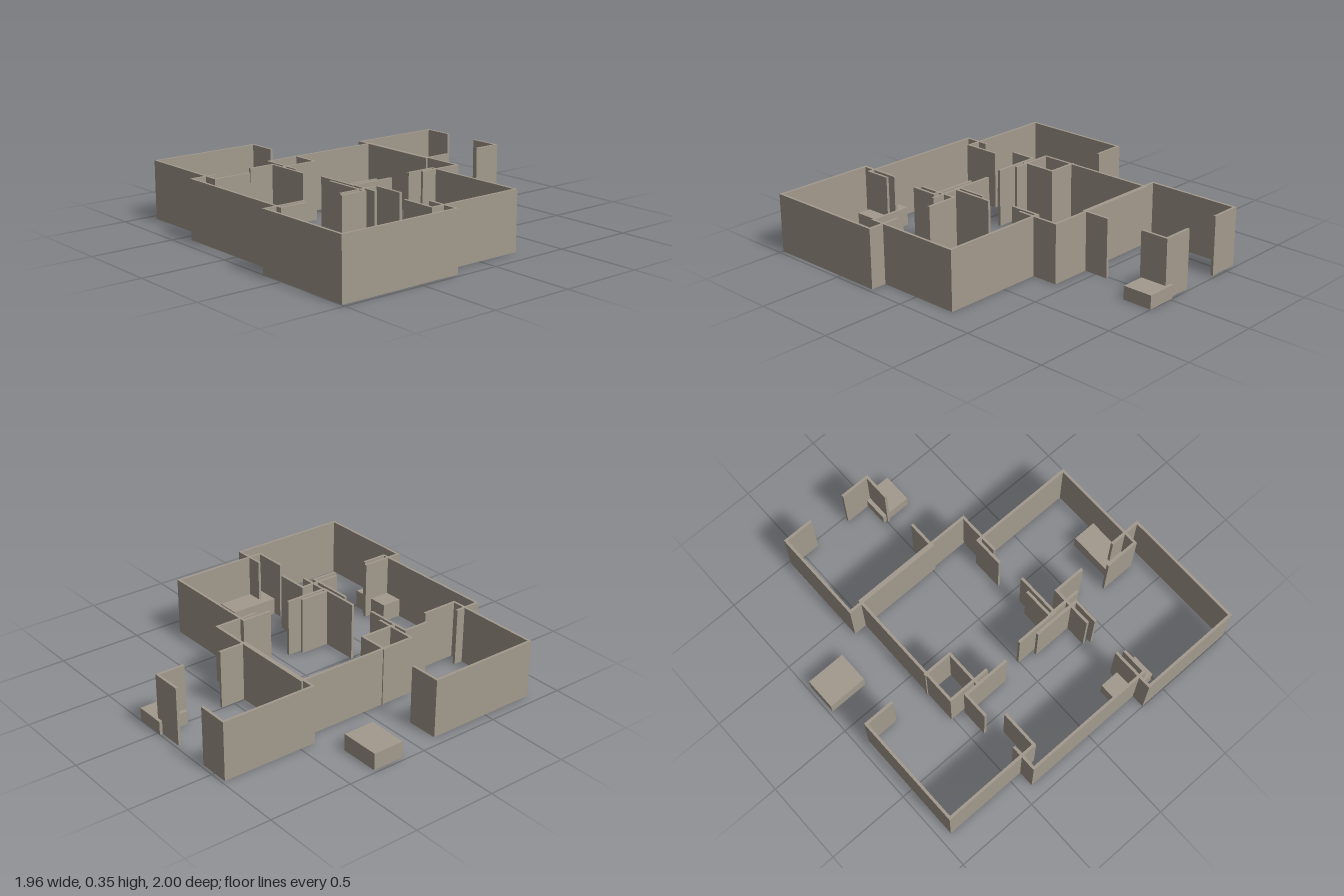
import * as THREE from 'three';

const H = 0.347; // wall height
const T = 0.016; // wall thickness

// Each room: outer bounds, then an optional doorway [from, to] for each side
const ROOMS = [
  { name: 'backRoom', x: [-0.59, 0.02], z: [-0.982, -0.402], back: [-0.4, -0.17], right: [-0.81, -0.58] },
  { name: 'centralHall', x: [-0.51, 0.265], z: [-0.43, 0.345], right: [-0.157, 0.07], front: [-0.24, -0.007] },
  { name: 'eastRoom', x: [0.218, 0.882], z: [-0.27, 0.339], left: [-0.08, 0.148], front: [0.437, 0.665] },
  { name: 'frontEastRoom', x: [0.343, 0.976], z: [0.243, 0.998], back: [0.545, 0.773], left: [0.505, 0.732] },
  { name: 'frontMiddleRoom', x: [-0.428, 0.398], z: [0.361, 0.92], back: [-0.13, 0.1], left: [0.527, 0.755], right: [0.527, 0.755] },
  { name: 'westRoom', x: [-0.937, -0.325], z: [0.129, 0.826], back: [-0.745, -0.517], right: [0.362, 0.59] },
];

// Low crates: x range, z range, height
const CRATES = [
  [[-0.98, -0.74], [-0.325, -0.133], 0.1],
  [[-0.02, 0.165], [-1.0, -0.82], 0.08],
  [[0.722, 0.872], [0.025, 0.33], 0.1],
  [[0.225, 0.482], [0.777, 0.917], 0.11],
];

function block(name, [x0, x1], [z0, z1], h, material) {
  const geo = new THREE.BoxGeometry(x1 - x0, h, z1 - z0);
  const mesh = new THREE.Mesh(geo, material);
  mesh.position.set((x0 + x1) / 2, h / 2, (z0 + z1) / 2);
  mesh.name = name;
  return mesh;
}

// Splits a wall run around its doorway
const runs = ([a, b], gap) => (gap ? [[a, gap[0]], [gap[1], b]] : [[a, b]]);

function room(r, material) {
  const g = new THREE.Group();
  g.name = r.name;
  const [x0, x1] = r.x, [z0, z1] = r.z;
  // Walls along x
  for (const [side, z] of [['back', [z0, z0 + T]], ['front', [z1 - T, z1]]]) {
    for (const x of runs(r.x, r[side])) g.add(block(side + 'Wall', x, z, H, material));
  }
  // Walls along z
  for (const [side, x] of [['left', [x0, x0 + T]], ['right', [x1 - T, x1]]]) {
    const name = side === 'left' ? 'westWall' : 'eastWall';
    for (const z of runs(r.z, r[side])) g.add(block(name, x, z, H, material));
  }
  return g;
}

// Box without its underside
function crate([x, z, h], material) {
  const mesh = block('crate', x, z, h, material);
  const index = Array.from(mesh.geometry.index.array);
  index.splice(18, 6);
  mesh.geometry.setIndex(index);
  mesh.geometry.clearGroups();
  return mesh;
}

export function createModel() {
  const stone = new THREE.MeshStandardMaterial({ color: 0xa39a8d, side: THREE.DoubleSide });
  stone.name = 'stone';
  const model = new THREE.Group();
  model.name = 'floorPlan';
  for (const r of ROOMS) model.add(room(r, stone));
  for (const c of CRATES) model.add(crate(c, stone));
  return model;
}
